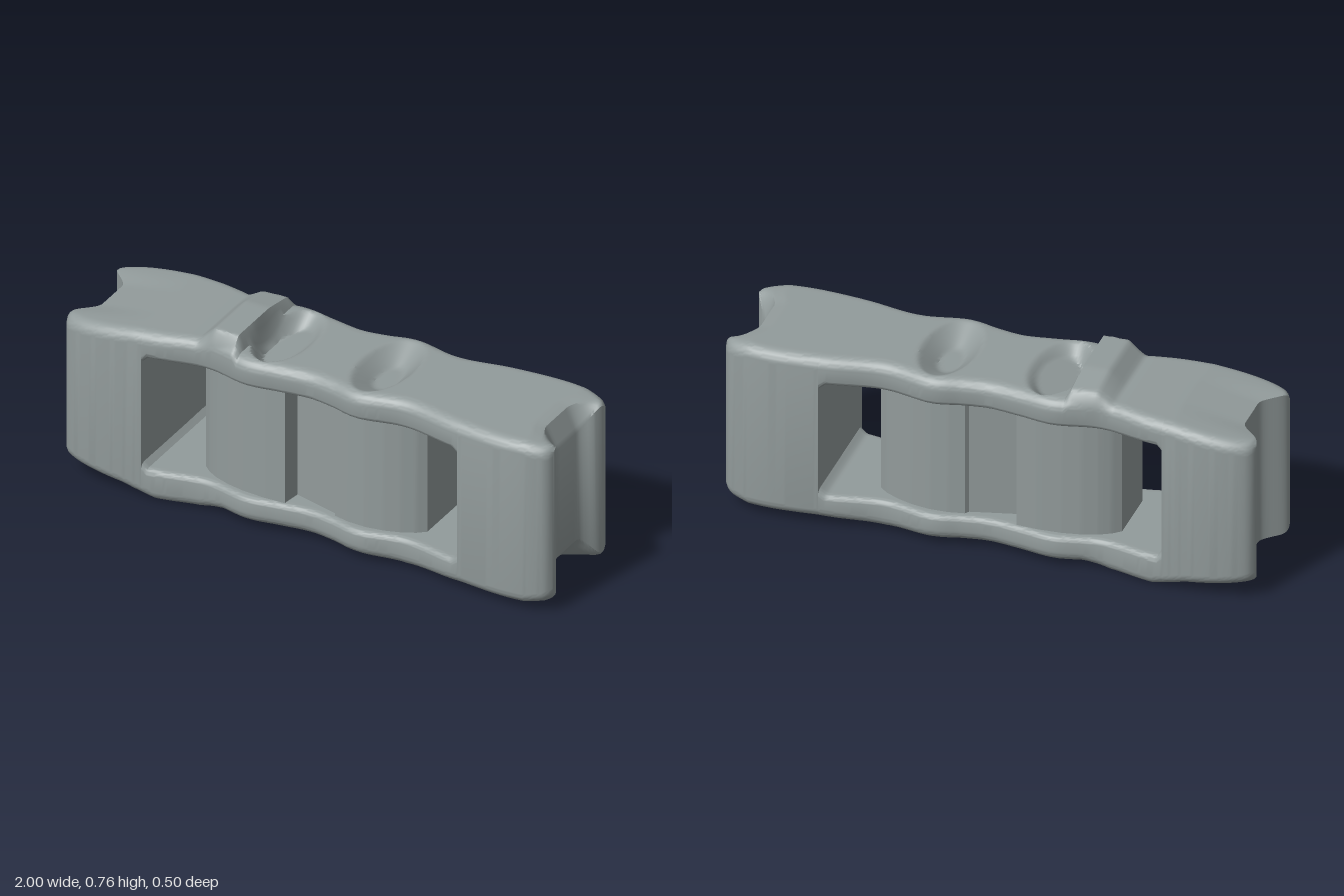
import * as THREE from 'three';
import { toCreasedNormals } from 'three/addons/utils/BufferGeometryUtils.js';

const material = new THREE.MeshStandardMaterial({ color: 0x929b9b });
const { clamp, lerp, smoothstep } = THREE.MathUtils;

// Piecewise linear profile through [x, value] points
const profile = (pts) => (x) => {
  if (x <= pts[0][0]) return pts[0][1];
  for (let i = 1; i < pts.length; i++) {
    const [x0, a] = pts[i - 1], [x1, b] = pts[i];
    if (x <= x1) return lerp(a, b, (x - x0) / (x1 - x0));
  }
  return pts[pts.length - 1][1];
};

// Smooth profile through [x, value] points
const smoothProfile = (pts) => {
  const curve = new THREE.SplineCurve(pts.map((p) => new THREE.Vector2(...p)));
  return profile(curve.getPoints(100).map((p) => [p.x, p.y]));
};

// Outline of the link: half depth, upper and lower edge along its length
const halfDepth = smoothProfile([[-1, 0.19], [-0.975, 0.22], [-0.9, 0.243], [-0.78, 0.25], [-0.6, 0.235],
  [-0.42, 0.202], [-0.25, 0.232], [-0.12, 0.215], [0, 0.2], [0.1, 0.212], [0.22, 0.235], [0.4, 0.202],
  [0.6, 0.235], [0.78, 0.25], [0.9, 0.243], [0.975, 0.22], [1, 0.19]]);
const upper = profile([[-1, 0.65], [-0.7, 0.69], [-0.5, 0.7], [0, 0.695], [0.4, 0.7], [0.9, 0.7], [1, 0.685]]);
const lower = profile([[-1, 0.07], [-0.75, 0.035], [-0.62, 0], [-0.45, 0.003], [-0.35, 0.024], [0.2, 0.025],
  [0.4, 0.015], [0.65, 0.03], [0.9, 0.028], [0.97, 0.042], [1, 0.055]]);

// Twin barrels, fullest on their inner sides, with a slanted web between them
const barrelDepth = profile([[-0.47, 0.112], [-0.44, 0.138], [-0.4, 0.16], [-0.34, 0.18], [-0.27, 0.193],
  [-0.18, 0.198], [-0.1, 0.193], [-0.09, 0.12], [0.09, 0.165], [0.1, 0.18], [0.16, 0.192], [0.23, 0.194],
  [0.3, 0.183], [0.36, 0.163], [0.41, 0.138], [0.44, 0.112]]);

// Oval pocket at each pin: rim is where its wall ends, tilt makes it deeper towards -x
const pocket = (x, z, cx, rz, depth, rim, tilt) => {
  const u = (x - cx) / 0.105;
  const r = Math.hypot(u, z / rz);
  return depth * (1 - tilt * u) * (1 - clamp((r - rim) / (1 - rim), 0, 1));
};

// Raised lip with a steep inner face beside the first pocket
const lip = (x, z) => {
  const rise = clamp((x + 0.46) / 0.06, 0, 1) * clamp((-0.285 - x) / 0.015, 0, 1);
  const height = profile([[-0.21, 0.01], [-0.18, 0.035], [-0.05, 0.057], [0.17, 0.057], [0.2, 0.02]])(z);
  return rise * height;
};

// Rounding of the long edges
const edgeDrop = (z, w, r) => {
  const d = clamp(Math.abs(z) - (w - r), 0, r);
  return r - Math.sqrt(r * r - d * d);
};

// Vertical end grooves, with a sloped lead-in above and below the left one
const groove = (z) => 1 - smoothstep(Math.abs(z), 0.07, 0.18);
const grooveInset = (x, z) => groove(z) * (x > 0 ? 0.05 : 0.08) * clamp((Math.abs(x) - 0.66) / 0.34, 0, 1);
const leadIn = (x, z, start) => groove(z) * clamp((x - start) / (1 - start), 0, 1);

const top = (x, z) => upper(x) + lip(x, z) - pocket(x, z, -0.195, 0.195, 0.05, 0.7, 0.7)
  - pocket(x, z, 0.215, 0.2, 0.06, 0.4, 0) - edgeDrop(z, halfDepth(x), 0.048) - 0.085 * leadIn(x, z, 0.95);

// The underside has one deep bore and one shallower pocket
const bottom = (x, z) => lower(x) + pocket(x, z, -0.2, 0.19, 0.05, 0.7, 0.5)
  + pocket(x, z, 0.215, 0.17, 0.35, 0.8, 0) + edgeDrop(z, halfDepth(x), 0.048) + 0.1 * leadIn(x, z, 0.85);

// Window edges, with small chamfers in the outer corners
const corner = (x) => 0.02 * (1 - clamp((x + 0.663) / 0.02, 0, 1) + clamp((x - 0.61) / 0.025, 0, 1));
const windowTop = (x, z) => 0.59 - corner(x) + edgeDrop(z, halfDepth(x), 0.025);
const windowBottom = (x, z) => 0.13 + corner(x) - edgeDrop(z, halfDepth(x), 0.025);

// Closed solid lofted along x between an upper and a lower surface
function loft(name, x0, x1, depth, topAt, bottomAt) {
  const n = 48, steps = Math.ceil((x1 - x0) / 0.01), ring = 2 * (n + 1);
  const pos = [], index = [];
  const quad = (a, b, c, d) => index.push(a, b, c, b, d, c);
  for (let i = 0; i <= steps; i++) {
    const x = lerp(x0, x1, i / steps), w = depth(x);
    for (let k = 0; k < ring; k++) {
      const j = k <= n ? k : ring - 1 - k;
      const z = w * Math.sin((j / n - 0.5) * Math.PI);
      pos.push(x - Math.sign(x) * grooveInset(x, z), k <= n ? topAt(x, z) : bottomAt(x, z), z);
    }
  }
  for (let i = 0; i < steps; i++) {
    for (let k = 0; k < ring; k++) {
      const a = i * ring + k, b = i * ring + ((k + 1) % ring);
      quad(a, b, a + ring, b + ring);
    }
  }
  // End caps
  const last = steps * ring;
  for (let j = 0; j < n; j++) {
    const under = ring - 1 - j;
    quad(j + 1, j, under - 1, under);
    quad(last + j, last + j + 1, last + under, last + under - 1);
  }
  const geometry = new THREE.BufferGeometry();
  geometry.setAttribute('position', new THREE.Float32BufferAttribute(pos, 3));
  geometry.setIndex(index);
  const mesh = new THREE.Mesh(toCreasedNormals(geometry, 0.7), material);
  mesh.name = name;
  return mesh;
}

export function createModel() {
  const group = new THREE.Group();
  group.name = 'chainLink';
  group.add(
    // Solid ends with a vertical groove
    loft('rightEndBlock', -1, -0.663, halfDepth, top, bottom),
    loft('leftEndBlock', 0.635, 1, halfDepth, top, bottom),
    // Rails above and below the windows
    loft('topRail', -0.663, 0.635, halfDepth, top, windowTop),
    loft('bottomRail', -0.663, 0.635, halfDepth, windowBottom, bottom),
    // Barrels, hollowed where the bore enters
    loft('barrels', -0.47, 0.44, barrelDepth, () => 0.61, (x, z) => Math.max(0.11, bottom(x, z) + 0.01)),
  );
  return group;
}
